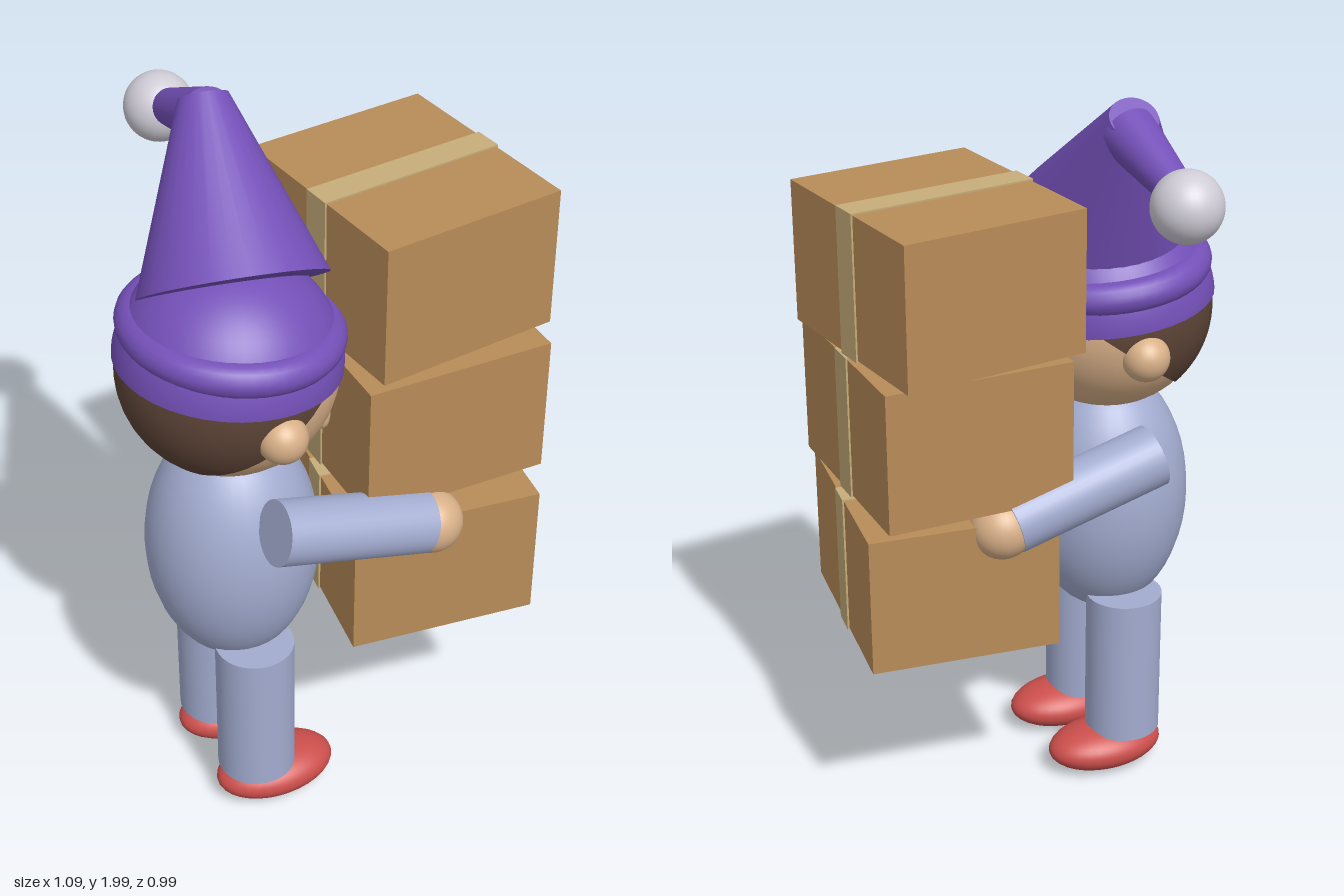
import * as THREE from 'three';

const mat = (name, color, extra) => Object.assign(new THREE.MeshStandardMaterial({ color, ...extra }), { name });

export function createModel() {
  const purple = mat('purple felt', 0x7450b8);
  const cloth = mat('pale blue cloth', 0xa3acd0);
  const skin = mat('skin', 0xd8b088);
  const hairBrown = mat('brown hair', 0x5c4336, { side: THREE.DoubleSide });
  const red = mat('red shoe', 0xcc4f4c);
  const white = mat('pompom white', 0xcfccd6);
  const card = mat('cardboard', 0xb88c58);
  const tapeTan = mat('packing tape', 0xc6ad7a);

  const model = new THREE.Group();
  model.name = 'boxCarrier';
  const CX = -0.26, CZ = 0.135; // vertical axis of the figure, which faces +x

  const add = (name, geometry, material, x = 0, y = 0, z = 0, parent = model) => {
    const mesh = new THREE.Mesh(geometry, material);
    mesh.name = name;
    mesh.position.set(x, y, z);
    parent.add(mesh);
    return mesh;
  };
  const ball = (name, material, x, y, z, rx, ry = rx, rz = rx) => {
    const mesh = add(name, new THREE.SphereGeometry(1, 32, 24), material, x, y, z);
    mesh.scale.set(rx, ry, rz);
    return mesh;
  };
  // Tapered cylinder between two points
  const limb = (name, material, from, to, r0, r1 = r0) => {
    const a = new THREE.Vector3(...from), b = new THREE.Vector3(...to);
    const dir = b.clone().sub(a);
    const mesh = add(name, new THREE.CylinderGeometry(r1, r0, dir.length(), 32), material);
    mesh.position.copy(a).add(b).multiplyScalar(0.5);
    mesh.quaternion.setFromUnitVectors(new THREE.Vector3(0, 1, 0), dir.normalize());
    return mesh;
  };

  // Body and head
  ball('body', cloth, CX, 0.82, CZ, 0.23, 0.36, 0.23);
  ball('head', skin, CX, 1.37, CZ, 0.28);

  // Hair shell tilted over the back of the head
  const hair = add('hair', new THREE.SphereGeometry(0.284, 48, 32, 0, Math.PI * 2, 0, 1.85), hairBrown, CX, 1.37, CZ);
  hair.quaternion.setFromUnitVectors(new THREE.Vector3(0, 1, 0), new THREE.Vector3(-0.6, 0.8, 0));

  // Paired parts on both sides
  for (const [side, s] of [['right', 1], ['left', -1]]) {
    const legZ = CZ + s * 0.13, armZ = CZ + s * 0.274;
    limb(side + 'Leg', cloth, [CX, 0.12, legZ], [CX, 0.55, legZ], 0.106);
    ball(side + 'Shoe', red, -0.205, 0.07, legZ, 0.17, 0.066, 0.107);
    limb(side + 'Arm', cloth, [-0.265, 1.03, armZ], [0.155, 0.92, armZ], 0.085);
    ball(side + 'Hand', skin, 0.178, 0.913, armZ, 0.085);
    ball(side + 'Ear', skin, -0.24, 1.31, CZ + s * 0.265, 0.064);
    const cheek = ball(side + 'Cheek', skin, CX + 0.215, 1.21, CZ + s * 0.09, 0.022, 0.042, 0.042);
    cheek.rotation.y = -s * 0.4;
  }

  // Hat: dome, rolled brim, leaning cone, drooping tail and pompom
  const hat = new THREE.Group();
  hat.name = 'hatBase';
  hat.position.set(CX, 1.39, CZ);
  hat.rotation.z = -0.1;
  model.add(hat);
  const dome = add('hatDome', new THREE.SphereGeometry(0.289, 40, 20, 0, Math.PI * 2, 0, Math.PI / 2), purple, 0, 0, 0, hat);
  dome.scale.y = 0.95;
  const brim = add('hatBrim', new THREE.TorusGeometry(0.24, 0.045, 16, 48), purple, 0, 0.095, 0, hat);
  brim.rotation.x = Math.PI / 2;
  brim.scale.y = 1.04;
  limb('hatCone', purple, [-0.24, 1.59, 0.13], [-0.185, 1.96, -0.145], 0.24, 0.063);
  limb('hatTail', purple, [-0.185, 1.915, -0.12], [-0.195, 1.825, -0.38], 0.073, 0.042);
  ball('pompom', white, -0.195, 1.81, -0.405, 0.091);

  // Stack of three taped boxes, each turned a little
  const boxes = [
    ['bottomBox', 0.745, 0.14, -0.12],
    ['middleBox', 1.172, 0.108, 0],
    ['topBox', 1.572, 0.078, 0.12],
  ];
  for (const [name, y, z, turn] of boxes) {
    const box = new THREE.Group();
    box.name = name;
    box.position.set(0.2525, y, z);
    box.rotation.y = turn;
    model.add(box);
    add('carton', new THREE.BoxGeometry(0.512, 0.382, 0.595), card, 0, 0, 0, box);
    add('tape', new THREE.BoxGeometry(0.522, 0.391, 0.08), tapeTan, 0, 0, 0, box);
  }
  return model;
}
